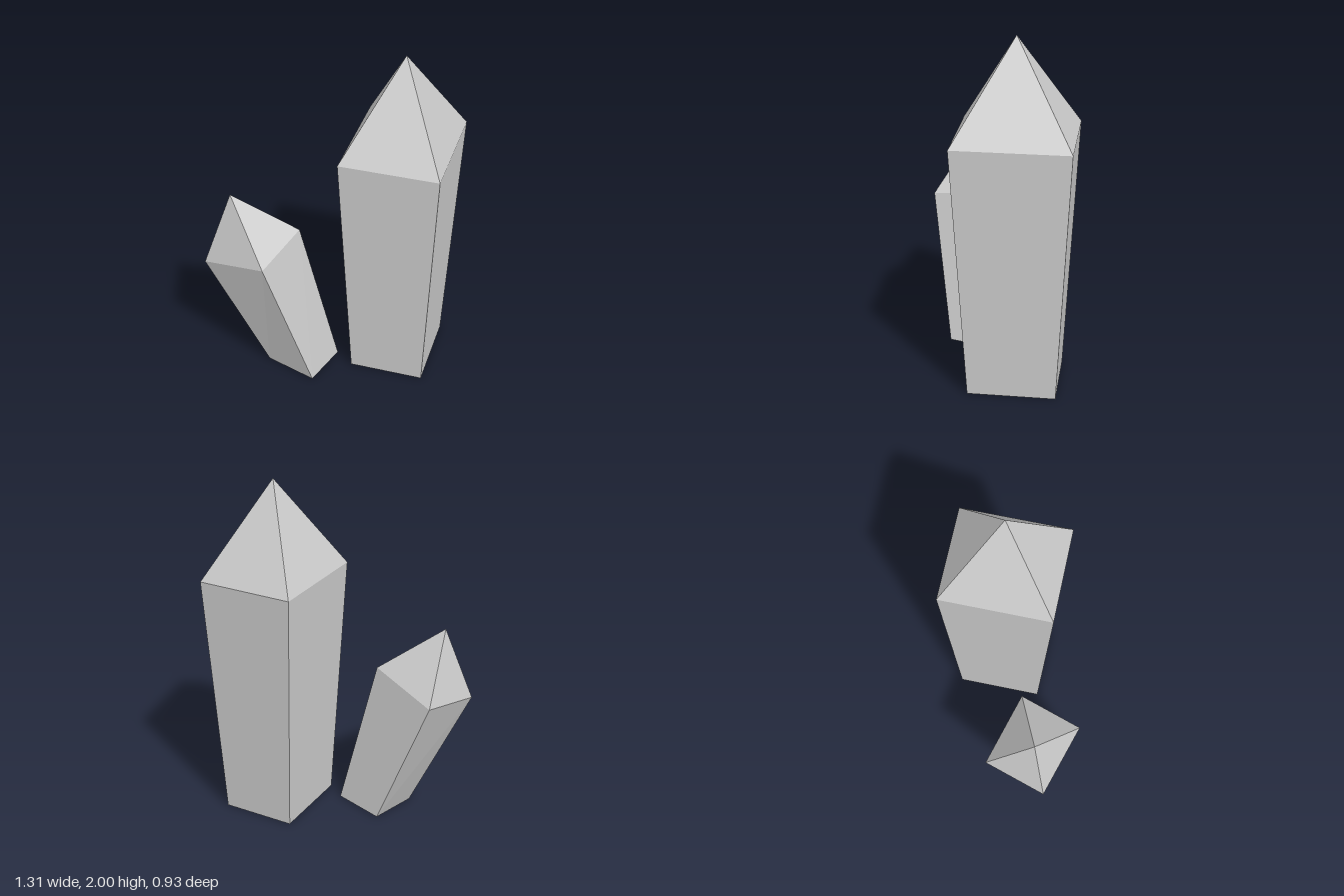
import * as THREE from 'three';

const material = new THREE.MeshStandardMaterial({ color: 0xcccccc, flatShading: true, side: THREE.DoubleSide });

// Open-bottomed crystal: base ring, shoulder ring (both counter-clockwise from above) and a tip
function crystal(name, base, shoulder, tip) {
  const positions = [];
  const tri = (...corners) => corners.forEach((c) => positions.push(...c));
  base.forEach((b0, i) => {
    const j = (i + 1) % base.length;
    const b1 = base[j], s0 = shoulder[i], s1 = shoulder[j];
    tri(b0, b1, s1); // side facet
    tri(b0, s1, s0);
    tri(s0, s1, tip); // point facet
  });
  const geometry = new THREE.BufferGeometry();
  geometry.setAttribute('position', new THREE.Float32BufferAttribute(positions, 3));
  geometry.computeVertexNormals();
  const mesh = new THREE.Mesh(geometry, material);
  mesh.name = name;
  return mesh;
}

export function createModel() {
  const group = new THREE.Group();
  group.name = 'crystalCluster';

  // Upright crystal, widening from base to shoulder
  const cx = 0.358, cz = -0.13;
  const section = [[-0.295, -0.31], [-0.267, 0.335], [0.295, 0.31], [0.267, -0.335]];
  const ring = (scale, y) => section.map(([x, z]) => [cx + x * scale, y, cz + z * scale]);
  group.add(crystal('tallCrystal', ring(0.762, 0), ring(1, 1.455), [cx, 2, cz]));

  // Smaller crystal leaning outwards, with a slanted shoulder
  group.add(crystal(
    'leaningCrystal',
    [[-0.26, 0, -0.035], [-0.325, 0, 0.24], [-0.02, 0, 0.325], [0.043, 0, 0.05]],
    [[-0.572, 0.787, -0.01], [-0.656, 0.73, 0.35], [-0.256, 0.843, 0.462], [-0.172, 0.9, 0.1]],
    [-0.521, 1.164, 0.258],
  ));

  return group;
}
